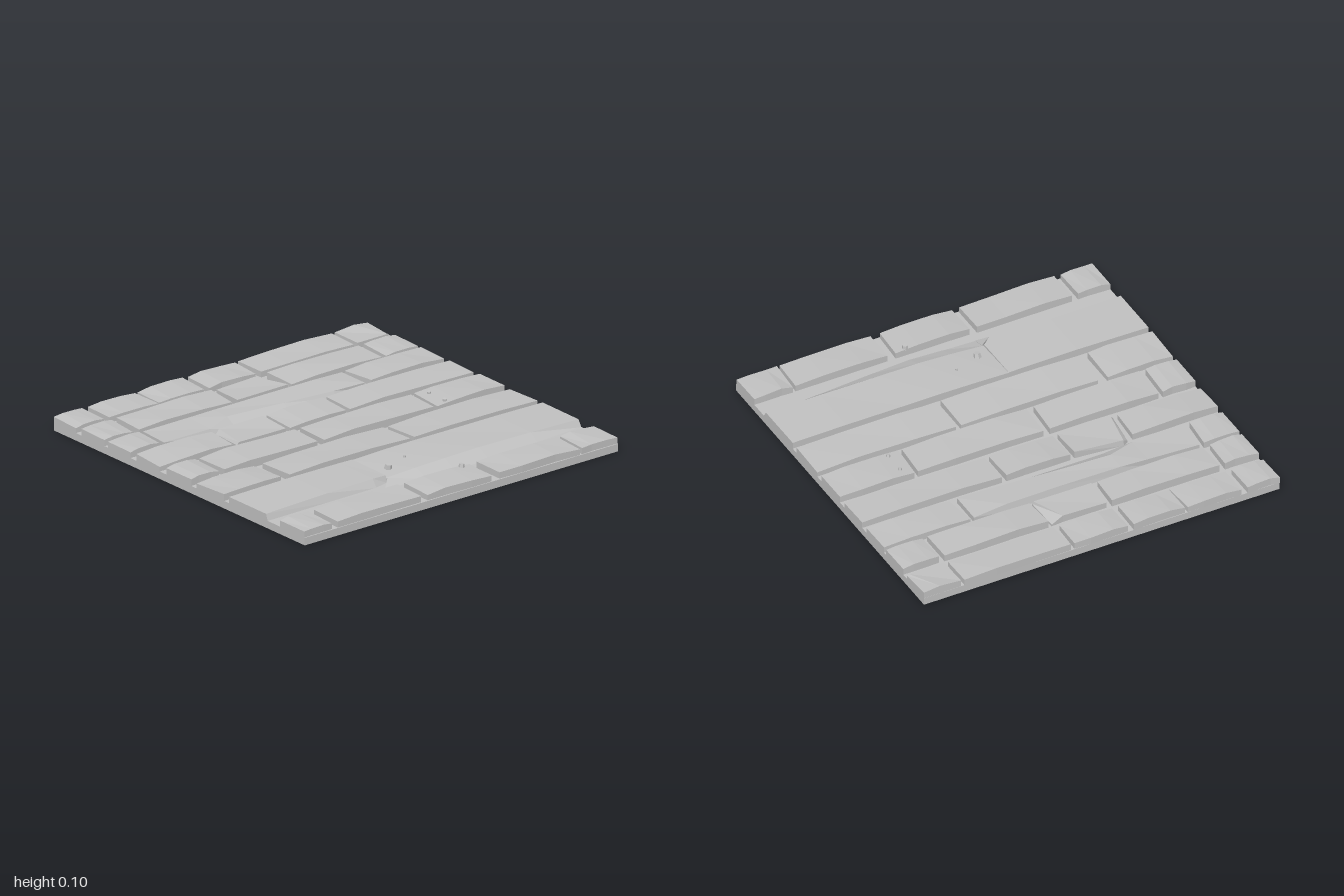
import * as THREE from 'three';

const FLOOR = 0.038; // top of the backing slab

// Lofts a plank along x. Station: { x, xf, zb, zf, yb, yf, fb, bb }
// (xf = x at the front edge, fb / bb = foot of the front / back wall)
function loftPlank(stations) {
  const rings = stations.map(({ x, xf = x, zb, zf, yb, yf, fb = zf, bb = zb }) => [
    [x, FLOOR, bb], [x, yb, zb], [xf, yf, zf], [xf, FLOOR, fb],
  ]);
  const pos = [];
  const quad = (a, b, c, d) => pos.push(...a, ...b, ...c, ...a, ...c, ...d);
  for (let s = 0; s < rings.length - 1; s++) {
    const a = rings[s], b = rings[s + 1];
    for (let i = 0; i < 3; i++) quad(a[i], a[i + 1], b[i + 1], b[i]);
  }
  const first = rings[0], last = rings[rings.length - 1];
  quad(first[3], first[2], first[1], first[0]);
  quad(last[0], last[1], last[2], last[3]);
  const g = new THREE.BufferGeometry();
  g.setAttribute('position', new THREE.Float32BufferAttribute(pos, 3));
  g.computeVertexNormals();
  return g;
}

export function createModel() {
  const group = new THREE.Group();
  const grey = new THREE.MeshStandardMaterial({ color: 0xc0c0c0, flatShading: true });
  grey.name = 'weatheredGrey';
  const add = (geometry, name) => {
    const mesh = new THREE.Mesh(geometry, grey);
    mesh.name = name;
    group.add(mesh);
    return mesh;
  };

  let seed = 11;
  const jitter = (amount) => {
    seed = (seed * 16807) % 2147483647;
    return (seed / 2147483647 - 0.5) * 2 * amount;
  };

  // Backing slab
  add(new THREE.BoxGeometry(2, 0.04, 1.976), 'backingSlab').position.y = 0.02;

  // Rows of plain, slightly arched planks: back z, front z, back y, front y,
  // then planks as [left, right, left skew, right skew]
  const rows = [
    { zb: -0.987, zf: -0.815, yb: 0.074, yf: 0.068, planks: [[-1, -0.82], [-0.785, -0.485, 0, 0.01],
      [-0.47, -0.18, 0, -0.005], [-0.15, 0.152, 0, -0.006], [0.172, 0.772, 0.01, 0]] },
    { zb: -0.77, zf: -0.59, yb: 0.078, yf: 0.072, planks: [[-1, -0.81, 0, -0.01], [-0.778, -0.175, 0, -0.012],
      [0.185, 0.768, 0.008, 0], [0.797, 1]] },
    { zb: -0.565, zf: -0.385, yb: 0.072, yf: 0.072, planks: [[-1, -0.8, 0, -0.015], [0.512, 1, 0.025, 0]] },
    { zb: -0.34, zf: -0.155, yb: 0.076, yf: 0.067, planks: [[-1, -0.52, 0, -0.013],
      [-0.17, 0.19], [0.215, 1]] },
    { zb: -0.105, zf: 0.095, yb: 0.075, yf: 0.075, planks: [[-1, -0.815, 0, -0.01], [-0.79, -0.18, 0, -0.013],
      [-0.145, 0.56, -0.008, -0.013], [0.582, 1, -0.015, 0]] },
    { zb: 0.135, zf: 0.35, yb: 0.068, yf: 0.075, planks: [[-1, -0.635], [-0.58, 0.19], [0.218, 1]] },
    { zb: 0.795, zf: 0.982, yb: 0.075, yf: 0.071, planks: [[-1, -0.82], [-0.785, -0.25],
      [-0.21, 0.205, 0, -0.01], [0.25, 0.768, 0, -0.01], [0.785, 1, -0.012, 0]] },
  ];
  rows.forEach(({ zb, zf, yb, yf, planks }, r) => planks.forEach(([x0, x1, s0 = 0, s1 = 0], i) => {
    const stations = [0, 0.28, 0.7, 1].map((t, k) => {
      const rise = (k === 1 || k === 2 ? 0.007 : 0);
      const x = x0 + (x1 - x0) * t;
      return {
        x, xf: x + s0 * (1 - t) + s1 * t, zb: zb + jitter(0.003), zf: zf + jitter(0.003),
        yb: yb + rise + jitter(0.003), yf: yf + rise + jitter(0.003),
      };
    });
    add(loftPlank(stations), `plank_${r + 1}_${i + 1}`);
  }));

  // Corner plank with a chipped back corner
  add(loftPlank([
    { x: 0.79, xf: 0.797, zb: -0.987, zf: -0.815, yb: 0.075, yf: 0.07 },
    { x: 0.91, xf: 0.99, zb: -0.987, zf: -0.815, yb: 0.085, yf: 0.07 },
    { x: 1, zb: -0.987, zf: -0.81, yb: 0.074, yf: 0.06 },
  ]), 'chippedCornerPlank');

  // Short plank with its end broken down on a slant
  add(loftPlank([
    { x: -0.145, xf: -0.152, zb: -0.765, zf: -0.59, yb: 0.072, yf: 0.074 },
    { x: 0.1, xf: 0.172, zb: -0.765, zf: -0.59, yb: 0.08, yf: 0.076 },
    { x: 0.165, xf: 0.178, zb: -0.77, zf: -0.585, yb: 0.05, yf: 0.06 },
  ]), 'brokenEndPlank');

  // Long plank with a splintered front edge
  add(loftPlank([
    { x: -0.775, xf: -0.787, zb: -0.565, zf: -0.385, yb: 0.07, yf: 0.07 },
    { x: -0.49, zb: -0.555, zf: -0.385, yb: 0.076, yf: 0.068, fb: -0.37 },
    { x: -0.34, zb: -0.55, zf: -0.44, yb: 0.08, yf: 0.08, fb: -0.365, bb: -0.558 },
    { x: 0, zb: -0.548, zf: -0.415, yb: 0.082, yf: 0.074, fb: -0.366, bb: -0.558 },
    { x: 0.3, zb: -0.55, zf: -0.39, yb: 0.08, yf: 0.07, fb: -0.37, bb: -0.56 },
    { x: 0.49, zb: -0.56, zf: -0.38, yb: 0.07, yf: 0.07 },
  ]), 'splinteredPlank');

  // Small plank with a worn left end
  add(loftPlank([
    { x: -0.488, xf: -0.507, zb: -0.345, zf: -0.155, yb: 0.05, yf: 0.056 },
    { x: -0.46, xf: -0.495, zb: -0.355, zf: -0.155, yb: 0.07, yf: 0.07, bb: -0.36 },
    { x: -0.195, zb: -0.335, zf: -0.155, yb: 0.08, yf: 0.068 },
  ]), 'wornEndPlank');

  // Wide boards: left one with a sloped front wall, right one worn to a long slope
  add(loftPlank([
    { x: -1, zb: 0.392, zf: 0.683, yb: 0.074, yf: 0.074, fb: 0.697 },
    { x: -0.6, zb: 0.392, zf: 0.672, yb: 0.08, yf: 0.08, fb: 0.692 },
    { x: -0.3, zb: 0.392, zf: 0.66, yb: 0.078, yf: 0.078, fb: 0.69 },
    { x: -0.215, zb: 0.392, zf: 0.655, yb: 0.076, yf: 0.074, fb: 0.67 },
  ]), 'wideBoardLeft');
  add(loftPlank([
    { x: -0.215, zb: 0.392, zf: 0.66, yb: 0.074, yf: 0.062, fb: 0.745 },
    { x: -0.03, zb: 0.392, zf: 0.665, yb: 0.079, yf: 0.072, fb: 0.752 },
    { x: 0.15, zb: 0.392, zf: 0.668, yb: 0.081, yf: 0.078, fb: 0.762 },
    { x: 0.37, zb: 0.392, zf: 0.665, yb: 0.08, yf: 0.08, fb: 0.748 },
    { x: 0.7, zb: 0.392, zf: 0.67, yb: 0.08, yf: 0.078, fb: 0.722 },
    { x: 1, zb: 0.392, zf: 0.675, yb: 0.076, yf: 0.074, fb: 0.697 },
  ]), 'wideBoardRight');

  // Splinter sliver at the tip of the right board
  add(loftPlank([
    { x: -0.285, zb: 0.735, zf: 0.742, yb: 0.04, yf: 0.039 },
    { x: -0.21, zb: 0.665, zf: 0.745, yb: 0.062, yf: 0.039 },
  ]), 'boardSplinter');

  // Nail heads: x, z, radius, top
  [[0.635, -0.052, 0.012, 0.089], [0.635, 0.07, 0.012, 0.089], [-0.14, 0.585, 0.021, 0.094],
    [0.005, 0.53, 0.008, 0.087], [0.145, 0.81, 0.017, 0.094]].forEach(([x, z, r, top], i) => {
    const nail = add(new THREE.CylinderGeometry(r * 0.8, r, 0.025, 6), `nailHead_${i + 1}`);
    nail.position.set(x, top - 0.0125, z);
    nail.rotation.set(0.1, i, 0.12);
  });

  return group;
}
